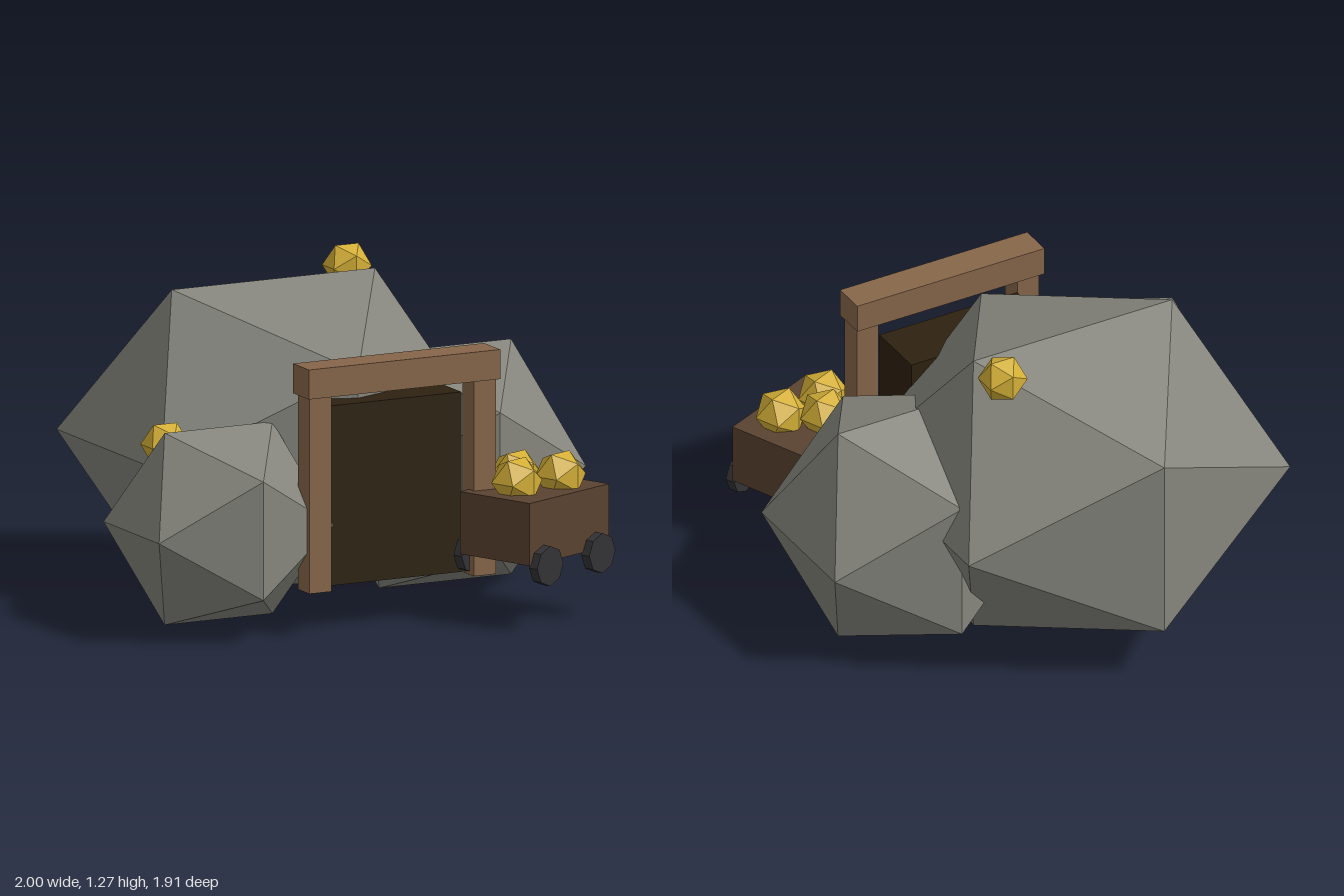
import * as THREE from 'three';

const material = (name, color) => {
  const m = new THREE.MeshStandardMaterial({ color });
  m.name = name;
  return m;
};

export function createModel() {
  const rock = material('grey rock', 0x85857d);
  const gold = material('gold', 0xd4af37);
  const timber = material('timber', 0x87664a);
  const dark = material('tunnel dark', 0x2e2110);
  const cartWood = material('cart wood', 0x5a4230);
  const iron = material('wheel iron', 0x333335);

  const model = new THREE.Group();
  model.name = 'mineEntrance';

  const add = (parent, name, geometry, mat, x, y, z) => {
    const mesh = new THREE.Mesh(geometry, mat);
    mesh.name = name;
    mesh.position.set(x, y, z);
    parent.add(mesh);
    return mesh;
  };
  const box = (w, h, d) => new THREE.BoxGeometry(w, h, d);
  const lump = (r) => new THREE.IcosahedronGeometry(r, 0); // faceted by default

  // Boulders forming the hill
  add(model, 'mainBoulder', lump(0.828), rock, -0.095, 0.603, -0.255).scale.y = 0.85;
  add(model, 'leftBoulder', lump(0.538), rock, 0.54, 0.458, -0.06);
  add(model, 'rightBoulder', lump(0.439), rock, -0.627, 0.41, 0.32);

  // Gold nuggets resting on the boulders
  add(model, 'topNugget', lump(0.095), gold, 0.295, 1.19, -0.4);
  add(model, 'sideNugget', lump(0.095), gold, -0.78, 0.704, 0.175);

  // Tunnel mouth with its timber frame
  add(model, 'tunnel', box(0.602, 0.7, 0.245), dark, 0.005, 0.52, 0.406);
  for (const side of [-1, 1]) {
    add(model, side > 0 ? 'leftPost' : 'rightPost', box(0.095, 0.76, 0.095), timber,
      0.005 + side * 0.352, 0.55, 0.577);
  }
  add(model, 'lintel', box(0.82, 0.115, 0.133), timber, 0.005, 0.988, 0.574);

  // Ore cart, turned slightly beside the entrance
  const cart = new THREE.Group();
  cart.name = 'oreCart';
  cart.position.set(0.545, 0, 0.673);
  cart.rotation.y = 0.4;
  model.add(cart);
  add(cart, 'cartBody', box(0.473, 0.243, 0.345), cartWood, 0, 0.38, 0);

  // Wheels: short octagonal cylinders with faceted rims
  const wheel = new THREE.CylinderGeometry(0.078, 0.078, 0.04, 8).rotateX(Math.PI / 2).toNonIndexed();
  wheel.computeVertexNormals();
  for (const x of [-0.155, 0.155]) {
    for (const z of [-0.187, 0.187]) add(cart, 'wheel', wheel, iron, x, 0.249, z);
  }

  // Gold load
  for (const [x, z] of [[0, -0.092], [-0.103, -0.003], [0.097, 0.047]]) {
    add(cart, 'cartNugget', lump(0.102), gold, x, 0.542, z);
  }

  return model;
}
